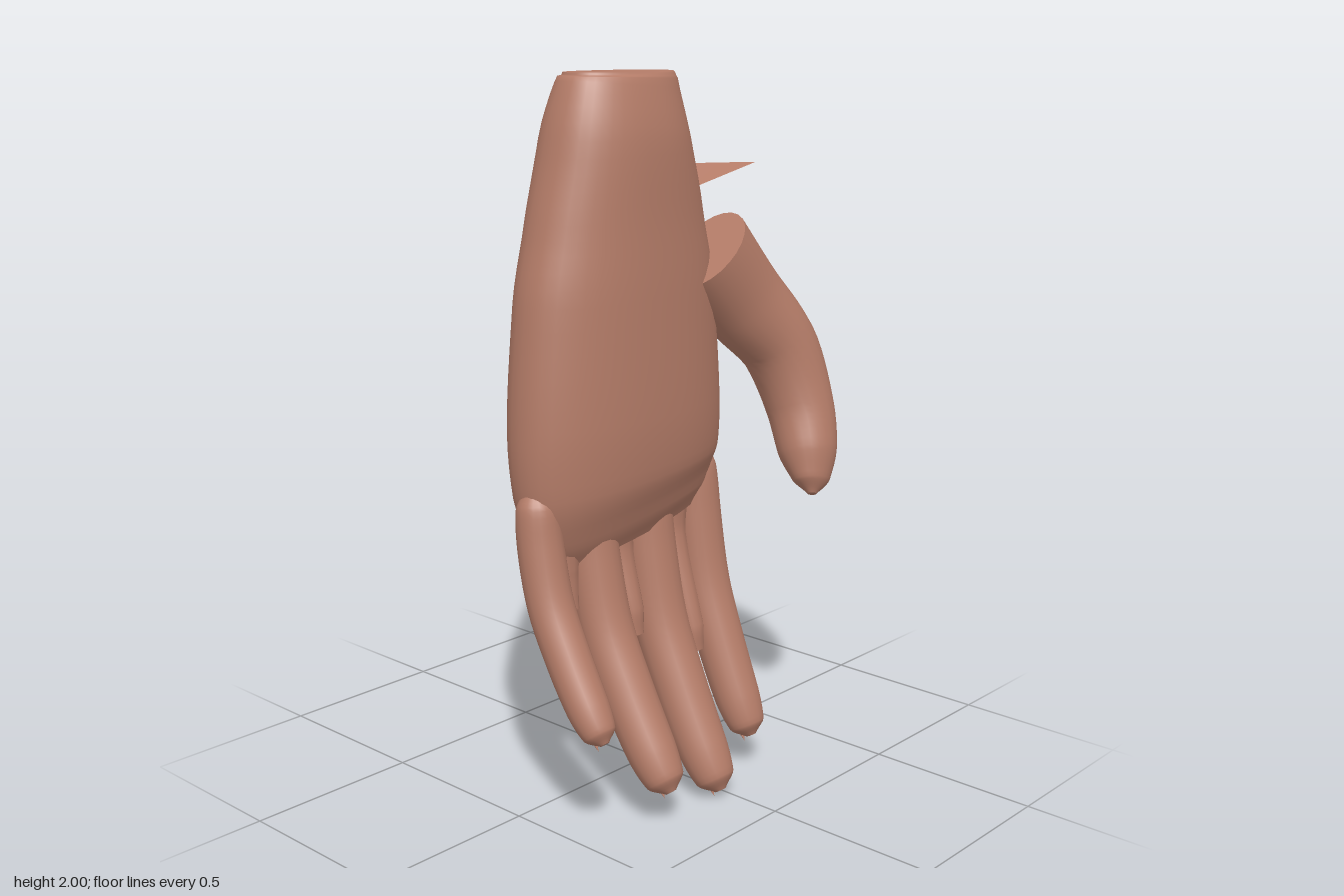
import * as THREE from 'three';

const skin = new THREE.MeshStandardMaterial({ color: 0xb47c68, side: THREE.DoubleSide });
skin.name = 'skin brown';

// Smooth closed sweep. Each row: x, y, z, radius along `side`, radius across it.
function sweep(rows, side, { sides = 24, steps = 28, power = 2 } = {}) {
  const path = new THREE.CatmullRomCurve3(rows.map(r => new THREE.Vector3(r[0], r[1], r[2])));
  const size = new THREE.CatmullRomCurve3(rows.map(r => new THREE.Vector3(r[3], r[4], 0)), false, 'catmullrom', 0.4);
  const pos = [], index = [];
  const bend = v => Math.sign(v) * Math.pow(Math.abs(v), 2 / power);
  for (let i = 0; i <= steps; i++) {
    const c = path.getPoint(i / steps), r = size.getPoint(i / steps), t = path.getTangent(i / steps);
    const u = side.clone().addScaledVector(t, -side.dot(t)).normalize();
    const v = t.clone().cross(u);
    for (let j = 0; j < sides; j++) {
      const a = (j / sides) * Math.PI * 2;
      const p = c.clone().addScaledVector(u, bend(Math.cos(a)) * r.x).addScaledVector(v, bend(Math.sin(a)) * r.y);
      pos.push(p.x, p.y, p.z);
      if (i < steps) {
        const k = i * sides + j, n = i * sides + (j + 1) % sides;
        index.push(k, n, k + sides, n, n + sides, k + sides);
      }
    }
  }
  // Flat end caps with their own vertices, so the rims stay sharp
  for (const ring of [0, steps]) {
    const start = pos.length / 3;
    for (let j = 0; j < sides; j++) {
      const k = (ring * sides + j) * 3;
      pos.push(pos[k], pos[k + 1], pos[k + 2]);
    }
    for (let j = 1; j < sides - 1; j++) {
      if (ring) index.push(start, start + j, start + j + 1);
      else index.push(start, start + j + 1, start + j);
    }
  }
  const g = new THREE.BufferGeometry();
  g.setAttribute('position', new THREE.Float32BufferAttribute(pos, 3));
  g.setIndex(index);
  g.computeVertexNormals();
  return g;
}

// Thin folded sheet: a fan around its first point
function sheet(points) {
  const pos = [];
  for (let i = 1; i < points.length - 1; i++) pos.push(...points[0], ...points[i + 1], ...points[i]);
  const g = new THREE.BufferGeometry();
  g.setAttribute('position', new THREE.Float32BufferAttribute(pos, 3));
  g.computeVertexNormals();
  return g;
}

export function createModel() {
  const hand = new THREE.Group();
  hand.name = 'hand';
  const add = (name, geometry) => {
    const mesh = new THREE.Mesh(geometry, skin);
    mesh.name = name;
    hand.add(mesh);
    return mesh;
  };
  const zAxis = new THREE.Vector3(0, 0, 1), xAxis = new THREE.Vector3(1, 0, 0);

  // Wrist and palm
  add('palm', sweep([
    [0.04, 2.0, 0.135, 0.175, 0.1],
    [0.04, 1.985, 0.135, 0.188, 0.113],
    [0.04, 1.83, 0.145, 0.235, 0.15],
    [0.036, 1.63, 0.142, 0.29, 0.16],
    [0.036, 1.42, 0.14, 0.34, 0.168],
    [0.037, 1.1, 0.14, 0.37, 0.172],
    [0.04, 0.93, 0.137, 0.367, 0.157],
    [0.045, 0.82, 0.125, 0.335, 0.11],
    [0.045, 0.755, 0.115, 0.29, 0.075],
  ], zAxis, { sides: 40, steps: 40, power: 2.2 }));

  // Fingers share one curl, scaled between knuckle and tip
  const curl = [ // along x, along y, thickness
    [0, 0, 0.5], [0.02, 0.08, 0.92], [0.07, 0.24, 1], [0.22, 0.48, 1],
    [0.47, 0.68, 0.98], [0.76, 0.87, 0.92], [0.93, 0.965, 0.72], [1, 1, 0.2],
  ];
  const fingers = [ // name, knuckle z, tip z, radius, knuckle y, tip x, tip y
    ['littleFinger', 0.463, 0.48, 0.064, 0.94, 0.31, 0.305],
    ['ringFinger', 0.275, 0.27, 0.077, 0.9, 0.355, 0.11],
    ['middleFinger', 0.05, 0.043, 0.08, 0.9, 0.34, 0.03],
    ['indexFinger', -0.158, -0.165, 0.074, 0.95, 0.28, 0.11],
  ];
  for (const [name, z0, z1, r, y0, tx, ty] of fingers) {
    add(name, sweep(curl.map(([fx, fy, s]) => [
      0.05 + (tx - 0.05) * fx, y0 + (ty - y0) * fy, z0 + (z1 - z0) * fy, r * s, r * s * 0.95,
    ]), zAxis, { sides: 20, steps: 35 }));
    // Small pointed nail
    const nail = add(name + 'Nail', new THREE.ConeGeometry(0.035, 0.09, 10));
    nail.scale.set(0.35, 1, 1);
    nail.rotation.set(0, 0, Math.PI + 0.5);
    nail.position.set(tx - 0.045, ty + 0.013, z1);
  }

  // Webs between neighbouring fingers: z, lowest y
  for (const [z, y] of [[0.375, 0.59], [0.16, 0.47], [-0.06, 0.37]]) {
    const x = 0.08 + (0.62 - y) * 0.32;
    add('fingerWeb', sweep([
      [0.045, 0.82, z, 0.055, 0.06], [0.055, 0.7, z, 0.045, 0.045],
      [x - 0.025, y + 0.07, z, 0.04, 0.035], [x, y, z, 0.025, 0.012],
    ], zAxis, { sides: 12, steps: 12 }));
  }

  // Thumb, cut flat where it meets the palm
  add('thumb', sweep([
    [0.125, 1.515, -0.13, 0.105, 0.138],
    [0.13, 1.36, -0.275, 0.11, 0.132],
    [0.17, 1.22, -0.395, 0.11, 0.115],
    [0.225, 1.05, -0.43, 0.1, 0.1],
    [0.275, 0.92, -0.41, 0.085, 0.09],
    [0.31, 0.84, -0.385, 0.05, 0.06],
    [0.325, 0.805, -0.37, 0.012, 0.015],
  ], xAxis, { steps: 36 }));

  // Torn sheets standing out from the wrist
  add('thumbSideFlap', sheet([
    [0.03, 1.67, -0.15], [0.025, 1.73, -0.46], [-0.04, 1.73, -0.37],
    [-0.105, 1.73, -0.26], [-0.09, 1.69, -0.1], [-0.03, 1.67, -0.08],
  ]));
  add('backFlap', sheet([
    [-0.11, 1.67, 0.0], [-0.385, 1.73, -0.19], [-0.34, 1.725, -0.01], [-0.26, 1.715, 0.13],
    [-0.19, 1.73, 0.19], [-0.13, 1.73, 0.19], [-0.1, 1.7, 0.13],
  ]));
  return hand;
}
